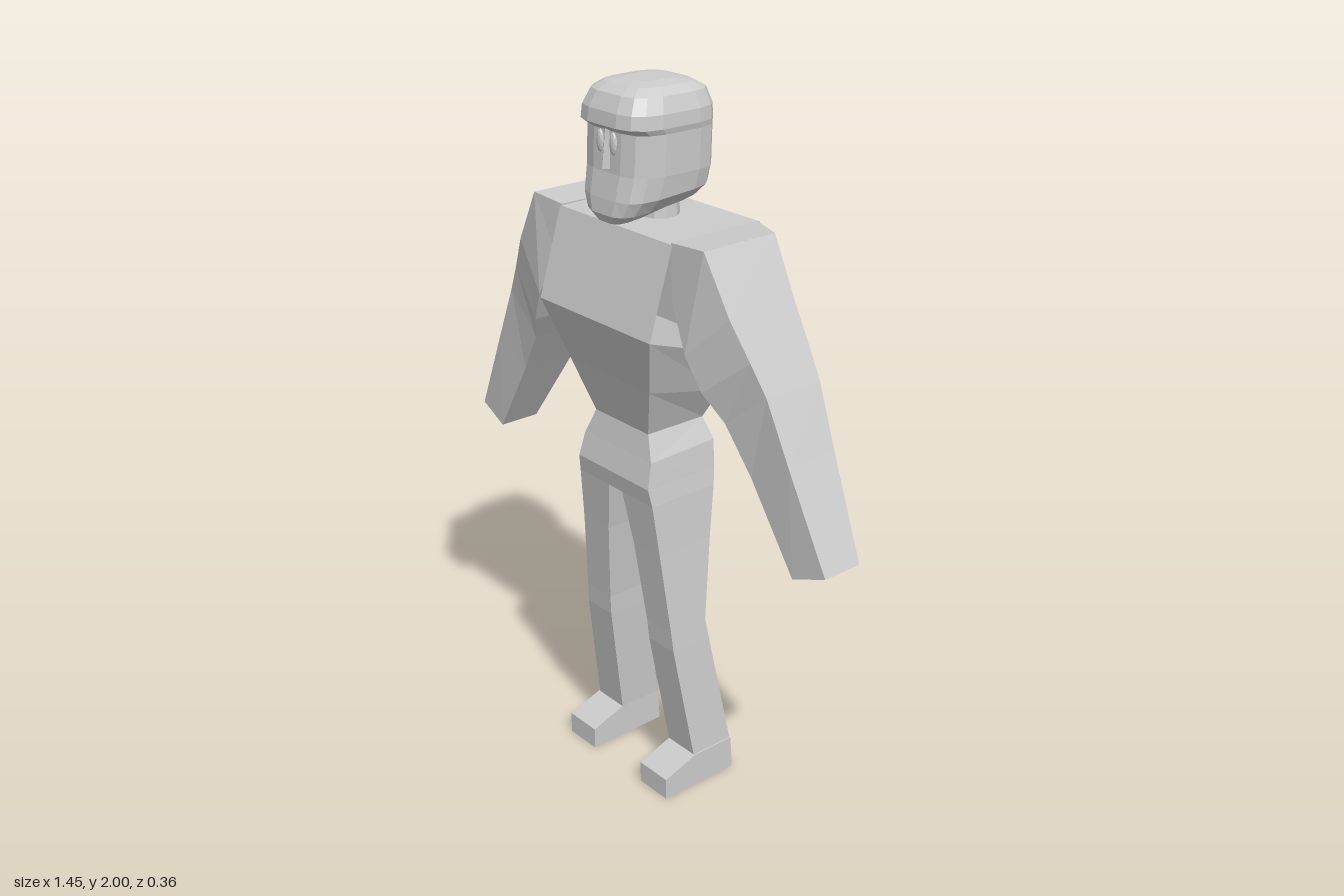
import * as THREE from 'three';

const grey = new THREE.MeshStandardMaterial({ color: 0xcccccc, flatShading: true });
const greyOpen = new THREE.MeshStandardMaterial({ color: 0xcccccc, flatShading: true, side: THREE.DoubleSide });

// Skin a list of equal-length rings of [x, y, z]; skip(ringIndex, sideIndex) leaves a panel open.
function loft(rings, skip = () => false) {
  const tris = [];
  const n = rings[0].length;
  for (let r = 0; r < rings.length - 1; r++) {
    for (let i = 0; i < n; i++) {
      if (skip(r, i)) continue;
      const j = (i + 1) % n;
      const [a, b, c, d] = [rings[r][i], rings[r][j], rings[r + 1][j], rings[r + 1][i]];
      tris.push([a, b, c], [a, c, d]);
    }
  }
  // End caps as fans around the ring centre
  const cap = (ring, flip) => {
    const mid = [0, 1, 2].map((k) => ring.reduce((s, p) => s + p[k], 0) / n);
    ring.forEach((p, i) => {
      const q = ring[(i + 1) % n];
      tris.push(flip ? [mid, q, p] : [mid, p, q]);
    });
  };
  cap(rings[0], true);
  cap(rings[rings.length - 1], false);
  // Turn every face outwards, whichever way the rings run
  const v = (p) => new THREE.Vector3(...p);
  const volume = tris.reduce((s, [a, b, c]) => s + v(a).dot(v(b).cross(v(c))), 0);
  const out = volume < 0 ? tris.map(([a, b, c]) => [a, c, b]) : tris;
  const geo = new THREE.BufferGeometry();
  geo.setAttribute('position', new THREE.Float32BufferAttribute(out.flat(2), 3));
  geo.computeVertexNormals();
  return geo;
}

// Four-cornered ring, symmetric in x, with separate front and back heights
const slab = (x, yf, zf, yb, zb) => [[x, yf, zf], [-x, yf, zf], [-x, yb, zb], [x, yb, zb]];

// Rounded ring for the head; the underside rises towards the back
function headRing([y, hx, zf, zb]) {
  const count = 16;
  const soft = (t) => Math.sign(t) * Math.abs(t) ** 0.55;
  return Array.from({ length: count }, (_, i) => {
    const a = ((i + 0.5) / count) * Math.PI * 2;
    const z = (zf + zb) / 2 + ((zf - zb) / 2) * soft(Math.sin(a));
    const lift = Math.max(0, 1.78 - y) * 0.3 * (zf - z) / (zf - zb);
    return [hx * soft(Math.cos(a)), y + lift, z];
  });
}

export function createModel() {
  const model = new THREE.Group();
  const add = (name, geo, material = grey) => {
    const mesh = new THREE.Mesh(geo, material);
    mesh.name = name;
    model.add(mesh);
    return mesh;
  };

  // Torso: wedge-shaped chest, open at the arm holes
  add('torso', loft([
    slab(0.11, 1.09, 0.09, 1.09, -0.1),
    slab(0.165, 1.235, 0.132, 1.18, -0.115),
    slab(0.226, 1.4, 0.182, 1.28, -0.18),
    slab(0.226, 1.64, 0.11, 1.645, -0.18),
  ], (r, i) => r === 2 && i % 2 === 1), greyOpen);

  // Hips
  add('hips', loft([
    slab(0.11, 1.09, 0.09, 1.09, -0.1),
    slab(0.14, 1.02, 0.105, 1.03, -0.115),
    slab(0.148, 0.95, 0.122, 0.95, -0.112),
    slab(0.155, 0.9, 0.113, 0.9, -0.105),
  ]));

  // Neck
  const neck = add('neck', new THREE.CylinderGeometry(0.048, 0.055, 0.09, 10));
  neck.position.set(0, 1.67, -0.04);

  // Head: blocky skull with brow ridge and jutting jaw
  add('head', loft([
    [1.652, 0.06, 0.14, -0.09],
    [1.675, 0.095, 0.152, -0.12],
    [1.715, 0.122, 0.148, -0.138],
    [1.78, 0.13, 0.135, -0.145],
    [1.885, 0.132, 0.13, -0.146],
    [1.9, 0.136, 0.15, -0.146],
    [1.935, 0.134, 0.146, -0.144],
    [1.975, 0.118, 0.125, -0.13],
    [1.993, 0.092, 0.095, -0.1],
    [2.0, 0.05, 0.055, -0.06],
  ].map(headRing)));

  // Nose ridge
  add('nose', loft([
    [[0.009, 1.89, 0.13], [-0.009, 1.89, 0.13], [0, 1.89, 0.136]],
    [[0.018, 1.79, 0.13], [-0.018, 1.79, 0.13], [0, 1.79, 0.147]],
  ]));

  for (const [side, s] of [['left', 1], ['right', -1]]) {
    const mirror = (ring) => ring.map(([x, y, z]) => [s * x, y, z]);

    // Eye
    const eye = add(side + 'Eye', new THREE.IcosahedronGeometry(1, 1));
    eye.scale.set(0.013, 0.03, 0.008);
    eye.position.set(s * 0.026, 1.855, 0.131);

    // Arm: [outer x, y, front z, back z, inner x, y, front z, back z] from shoulder to hand
    add(side + 'Arm', loft([
      [0.22, 1.645, 0.11, -0.178, 0.228, 1.54, 0.11, -0.175],
      [0.34, 1.652, 0.11, -0.125, 0.236, 1.5, 0.118, -0.172],
      [0.425, 1.5, 0.1, -0.118, 0.3, 1.38, 0.132, -0.135],
      [0.48, 1.4, 0.08, -0.118, 0.345, 1.29, 0.115, -0.122],
      [0.525, 1.32, 0.066, -0.115, 0.395, 1.215, 0.08, -0.118],
      [0.6, 1.16, 0.058, -0.1, 0.475, 1.09, 0.062, -0.105],
      [0.724, 0.9, 0.042, -0.078, 0.62, 0.86, 0.05, -0.075],
    ].map(([ox, oy, of, ob, ix, iy, f, b]) =>
      mirror([[ox, oy, of], [ix, iy, f], [ix, iy, b], [ox, oy, ob]]))));

    // Leg: [y, inner x, outer x, front z, back z] from hip to ankle
    const legRing = ([y, xi, xo, zf, zb]) =>
      mirror([[xi, y, zf], [xo, y, zf], [xo, y, zb], [xi, y, zb]]);
    add(side + 'Leg', loft([
      [0.9, 0.028, 0.155, 0.113, -0.105],
      [0.75, 0.055, 0.165, 0.095, -0.085],
      [0.51, 0.082, 0.185, 0.07, -0.055],
      [0.45, 0.085, 0.19, 0.065, -0.065],
      [0.1, 0.107, 0.215, 0.008, -0.13],
    ].map(legRing)));

    // Foot: heel block with a sloping toe
    const outline = [[-0.13, 0.1], [0.008, 0.1], [0.115, 0.063], [0.115, 0], [-0.138, 0]];
    add(side + 'Foot', loft([0.107, 0.22].map((x) => outline.map(([z, y]) => [s * x, y, z]))));
  }
  return model;
}
